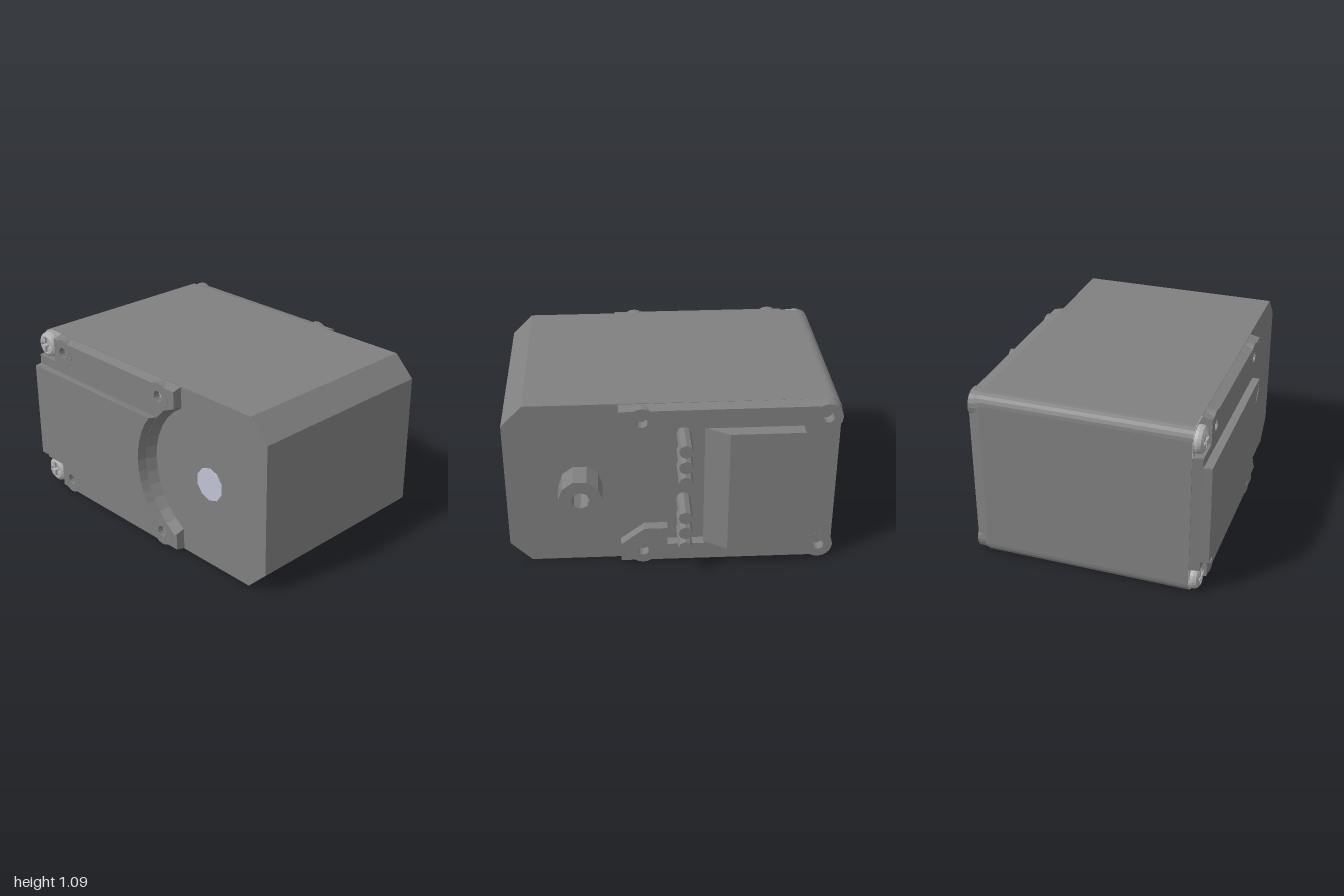
import * as THREE from 'three';

const H = 1.09, CY = H / 2, AXIS_X = 0.55;
const mat = (color) => new THREE.MeshStandardMaterial({ color, flatShading: true });
const caseMat = mat(0x808080), screwMat = mat(0xb0b0b0), discMat = mat(0xc0c2d4);

const flip = (pts) => pts.map(([x, y]) => [x, H - y]).reverse();
const circle = (x, y, r, n, from = 0) => Array.from({ length: n }, (_, i) => {
  const a = from + (i / n) * Math.PI * 2;
  return [x + r * Math.cos(a), y + r * Math.sin(a)];
});
const toVec = (pts) => pts.map(([x, y]) => new THREE.Vector2(x, y));

// Rounded corner at the upper left, running anticlockwise
const corner = (x, y, r) => Array.from({ length: 6 }, (_, i) => {
  const a = Math.PI / 2 + (i / 5) * Math.PI / 2;
  return [x + r * Math.cos(a), y + r * Math.sin(a)];
});

// Straight prism from z0 to z1 with holes; taper(v) may move each vertex
function prism(pts, z0, z1, holes = [], taper) {
  const shape = new THREE.Shape(toVec(pts));
  for (const h of holes) shape.holes.push(new THREE.Path(toVec(h)));
  const g = new THREE.ExtrudeGeometry(shape, { depth: z1 - z0, bevelEnabled: false });
  g.translate(0, 0, z0);
  if (taper) {
    const p = g.attributes.position, v = new THREE.Vector3();
    for (let i = 0; i < p.count; i++) {
      taper(v.fromBufferAttribute(p, i));
      p.setXYZ(i, v.x, v.y, v.z);
    }
    g.computeVertexNormals();
  }
  return g;
}

export function createModel() {
  const model = new THREE.Group();
  const add = (name, geo, material = caseMat, parent = model) => {
    const m = new THREE.Mesh(geo, material);
    m.name = name;
    parent.add(m);
    return m;
  };

  // Main case: rounded left corners, chamfered right corners
  const bodyTop = [[1, 0.96], [0.87, H], ...corner(-0.93, H - 0.07, 0.07)];
  add('caseBody', prism([...bodyTop, ...flip(bodyTop)], -0.58, 0.69));

  // Slope of the cover rims towards the outer face
  const rim = (v, inset) => {
    if (v.y > 1.07) v.y -= inset;
    if (v.y < 0.02) v.y += inset;
    if (v.x < -0.97) v.x += inset;
  };
  // Flared concave edge around the shaft axis
  const flare = (v, r, grow) => {
    const dx = v.x - AXIS_X, dy = v.y - CY, d = Math.hypot(dx, dy);
    if (Math.abs(d - r) < 0.004) {
      v.x = AXIS_X + dx * (1 + grow / r);
      v.y = CY + dy * (1 + grow / r);
    }
  };
  // Points of the concave edge between two heights, from the bottom up
  const arc = (r, yMax, n) => {
    const a = Math.asin((yMax - CY) / r);
    return Array.from({ length: n + 1 }, (_, i) => {
      const t = -a + (2 * a * i) / n;
      return [AXIS_X - r * Math.cos(t), CY + r * Math.sin(t)];
    });
  };

  // Front cover with screw notches and a raised centre panel
  const frontHoles = [-0.73, 0.18].flatMap((x) => [[x, 1.0], [x, H - 1.0]]);
  const coverTop = [[0.315, H - 0.003], [-0.82, H - 0.003], [-0.82, 0.92], [-0.995, 0.92]];
  const coverArc = arc(0.47, 0.95, 12);
  const coverPts = [...coverArc, [0.315, 0.965], ...coverTop, ...flip(coverTop), [0.315, H - 0.965]];
  add('frontCover', prism(coverPts, 0.69, 0.75, frontHoles.map(([x, y]) => circle(x, y, 0.035, 12)), (v) => {
    if (v.z < 0.74) return;
    rim(v, 0.015);
    flare(v, 0.47, 0.03);
  }));
  const panelArc = arc(0.5, 0.86, 10);
  add('frontPanel', prism([...panelArc, [-0.98, 0.86], [-0.98, H - 0.86]], 0.75, 0.8, [], (v) => {
    if (v.z < 0.79) return;
    rim(v, 0.01);
    flare(v, 0.5, 0.015);
  }));
  for (const [x, y] of frontHoles) {
    add('frontBoss', prism(circle(x, y, 0.088, 20), 0.69, 0.751, [circle(x, y, 0.035, 12)]));
    add('frontPin', new THREE.CircleGeometry(0.036, 12), screwMat).position.set(x, y, 0.71);
  }

  // Cross-head screws on light corner pads
  const padPts = [[-0.82, 0.92], [-0.82, H], ...corner(-0.92, H - 0.08, 0.08), [-1, 0.92]];
  const w = 0.011, l = 0.052;
  const cross = [[w, w], [w, l], [-w, l], [-w, w], [-l, w], [-l, -w],
    [-w, -w], [-w, -l], [w, -l], [w, -w], [l, -w], [l, w]];
  const domeProfile = toVec([[0.08, 0], [0.083, 0.02], [0.077, 0.04], [0.06, 0.052]]);
  for (const top of [true, false]) {
    add('screwPad', prism(top ? padPts : flip(padPts), 0.688, 0.694), screwMat);
    const screw = new THREE.Group();
    screw.name = 'screw';
    screw.position.set(-0.915, top ? 1.0 : H - 1.0, 0.693);
    add('screwRim', new THREE.LatheGeometry(domeProfile, 24).rotateX(Math.PI / 2), screwMat, screw);
    add('screwFace', prism(circle(0, 0, 0.06, 24), 0.025, 0.052, [cross]), screwMat, screw);
    add('screwSlotFloor', new THREE.CircleGeometry(0.06, 24), screwMat, screw).position.z = 0.025;
    model.add(screw);
  }

  // Shaft end on the front
  add('frontShaftEnd', new THREE.CylinderGeometry(0.105, 0.105, 0.02, 10).rotateX(Math.PI / 2), discMat)
    .position.set(AXIS_X, CY, 0.686);

  // Back cover: two wings around an open pin bay
  const backHoles = [-0.91, 0.18].flatMap((x) => [[x, 1.0], [x, H - 1.0]]);
  const backTop = [[-0.2, 0.96], [0.03, 0.96], [0.03, 0.84], [0.17, 0.84], [0.315, 0.95],
    [0.315, H - 0.003], ...corner(-0.92, H - 0.08, 0.08)];
  add('backCover', prism([...backTop, ...flip(backTop)], -0.645, -0.58,
    backHoles.map(([x, y]) => circle(x, y, 0.035, 12)), (v) => {
      if (v.z < -0.63) rim(v, 0.015);
    }));
  for (const [x, y] of backHoles) {
    add('backBoss', prism(circle(x, y, 0.088, 20), -0.646, -0.58, [circle(x, y, 0.035, 12)]));
  }

  // Raised block on the back with one sloping side
  add('backBlock', prism([[-0.77, 0.14], [-0.19, 0.14], [-0.19, 0.95], [-0.77, 0.95]], -0.728, -0.64, [], (v) => {
    if (v.z < -0.7 && v.x > -0.5) v.x = -0.33;
  }));

  // Two rows of three connector pins
  for (const y of [0.885, 0.777, 0.67, 0.425, 0.317, 0.21]) {
    add('connectorPin', new THREE.CylinderGeometry(0.043, 0.043, 0.23, 8).rotateX(Math.PI / 2))
      .position.set(-0.07, y, -0.685);
  }

  // Hollow output shaft on the back
  add('outputShaft', prism(circle(AXIS_X, CY, 0.132, 10), -0.755, -0.57, [circle(AXIS_X, CY, 0.055, 8)]));

  return model;
}
